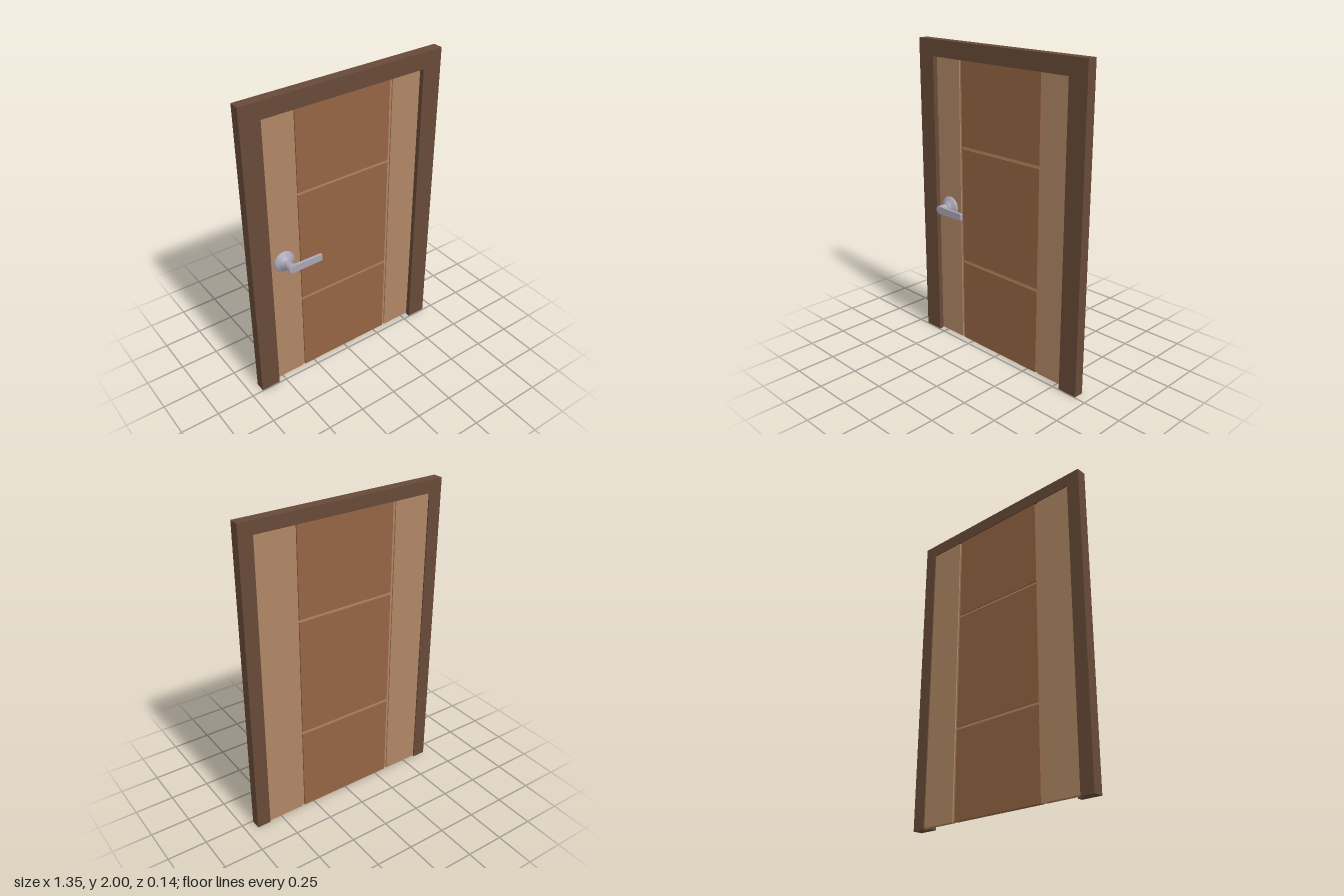
import * as THREE from 'three';

const paint = (color) => new THREE.MeshStandardMaterial({ color });

export function createModel() {
  const model = new THREE.Group();
  const frameMat = paint(0x674a38);
  const stileMat = paint(0xaf8664);
  const panelMat = paint(0x946443);
  const metalMat = paint(0xa9a5b5);

  const add = (parent, name, geometry, material) => {
    const mesh = new THREE.Mesh(geometry, material);
    mesh.name = name;
    parent.add(mesh);
    return mesh;
  };
  // Box given by its limits on each axis
  const box = (parent, name, mat, x0, x1, y0, y1, z0, z1) => {
    const mesh = add(parent, name, new THREE.BoxGeometry(x1 - x0, y1 - y0, z1 - z0), mat);
    mesh.position.set((x0 + x1) / 2, (y0 + y1) / 2, (z0 + z1) / 2);
  };

  // Frame: an upside-down U in two layers, the rear one wider open to form the rebate
  const frame = new THREE.Group();
  frame.name = 'doorFrame';
  model.add(frame);
  const frameLayer = (name, halfOpening, openingTop, z0, z1) => {
    const w = 0.675, h = halfOpening;
    const shape = new THREE.Shape([
      [-w, 0], [-h, 0], [-h, openingTop], [h, openingTop],
      [h, 0], [w, 0], [w, 2], [-w, 2],
    ].map(([x, y]) => new THREE.Vector2(x, y)));
    const geometry = new THREE.ExtrudeGeometry(shape, { depth: z1 - z0, bevelEnabled: false });
    add(frame, name, geometry.translate(0, 0, z0), frameMat);
  };
  frameLayer('frameFront', 0.547, 1.895, -0.036, -0.005);
  frameLayer('frameRebate', 0.587, 1.92, -0.07, -0.036);

  // Door leaf: thin core that shows in the grooves, with raised stiles and panels on both faces
  const door = new THREE.Group();
  door.name = 'doorLeaf';
  model.add(door);
  const zBack = -0.066, zFront = -0.037, bottom = 0.008, top = 1.916;
  box(door, 'core', stileMat, -0.58, 0.58, bottom, top, zBack + 0.008, zFront - 0.008);
  for (const side of [-1, 1]) {
    const x = [side * 0.344, side * 0.584].sort((a, b) => a - b);
    box(door, side > 0 ? 'leftStile' : 'rightStile', stileMat, x[0], x[1], bottom, top, zBack, zFront);
  }
  [[bottom, 0.564], [0.584, 1.336], [1.354, top]].forEach(([y0, y1], i) =>
    box(door, ['lowerPanel', 'middlePanel', 'upperPanel'][i], panelMat, -0.325, 0.325, y0, y1, zBack, zFront));

  // Handle: turned rosette and neck, then a flat lever
  const handle = new THREE.Group();
  handle.name = 'handle';
  handle.position.set(-0.443, 0.926, 0);
  model.add(handle);

  const turned = (name, points) => {
    const profile = points.map(([r, z]) => new THREE.Vector2(r, z));
    const geometry = new THREE.LatheGeometry(profile, 40).rotateX(Math.PI / 2);
    add(handle, name, geometry, metalMat);
  };
  turned('rosette', [[0.068, -0.038], [0.069, -0.03], [0.067, -0.025], [0.062, -0.021],
    [0.05, -0.014], [0.042, -0.008], [0.037, -0.004], [0.033, 0.004], [0.031, 0.006], [0, 0.006]]);
  turned('neck', [[0.027, 0.004], [0.027, 0.062], [0.0262, 0.066], [0.024, 0.068], [0, 0.068]]);

  const lever = new THREE.Shape();
  lever.moveTo(0, -0.027);
  lever.lineTo(0.2, -0.024);
  lever.quadraticCurveTo(0.207, -0.024, 0.207, -0.017);
  lever.lineTo(0.207, 0.015);
  lever.quadraticCurveTo(0.207, 0.022, 0.2, 0.022);
  lever.lineTo(0.06, 0.024);
  lever.lineTo(0, 0.027);
  const leverGeometry = new THREE.ExtrudeGeometry(lever, {
    depth: 0.014, bevelThickness: 0.002, bevelSize: 0.002, bevelOffset: -0.002, bevelSegments: 2,
  });
  add(handle, 'lever', leverGeometry.translate(0, 0, 0.052), metalMat);

  return model;
}
